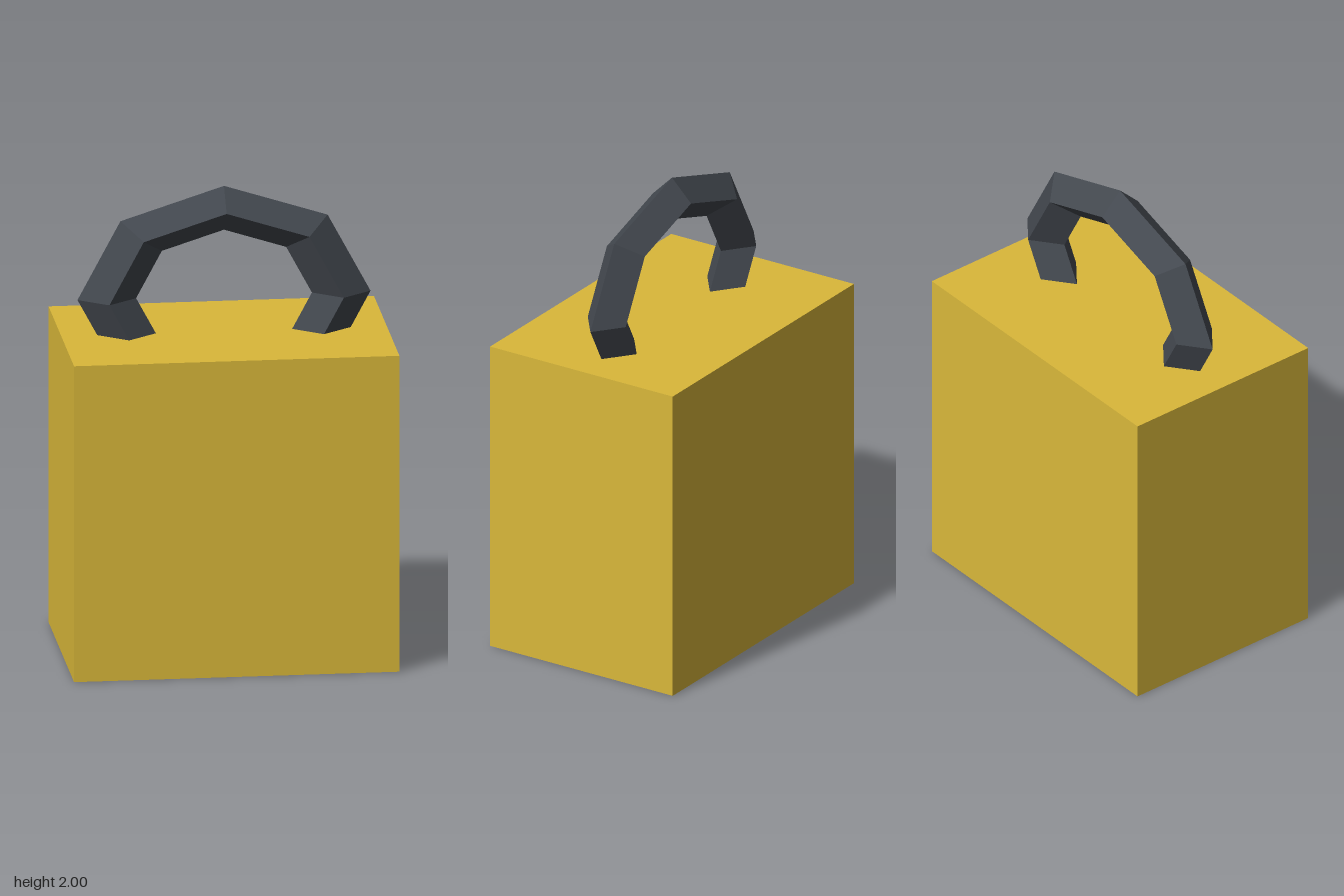
import * as THREE from 'three';

export function createModel() {
  const model = new THREE.Group();
  const yellow = new THREE.MeshStandardMaterial({ color: 0xdab83a, flatShading: true });
  const dark = new THREE.MeshStandardMaterial({ color: 0x43484f, flatShading: true });

  // Solid block standing on the ground
  const height = 1.37;
  const body = new THREE.Mesh(new THREE.BoxGeometry(1.366, height, 0.914), yellow);
  body.name = 'body';
  body.position.y = height / 2;
  model.add(body);

  // Eight-sided ring with a diamond section, stretched sideways and sunk into the block
  const shackle = new THREE.Mesh(new THREE.TorusGeometry(0.38, 0.095, 4, 8), dark);
  shackle.name = 'shackle';
  shackle.scale.x = 1.295;
  shackle.position.y = 1.525;
  model.add(shackle);

  return model;
}
